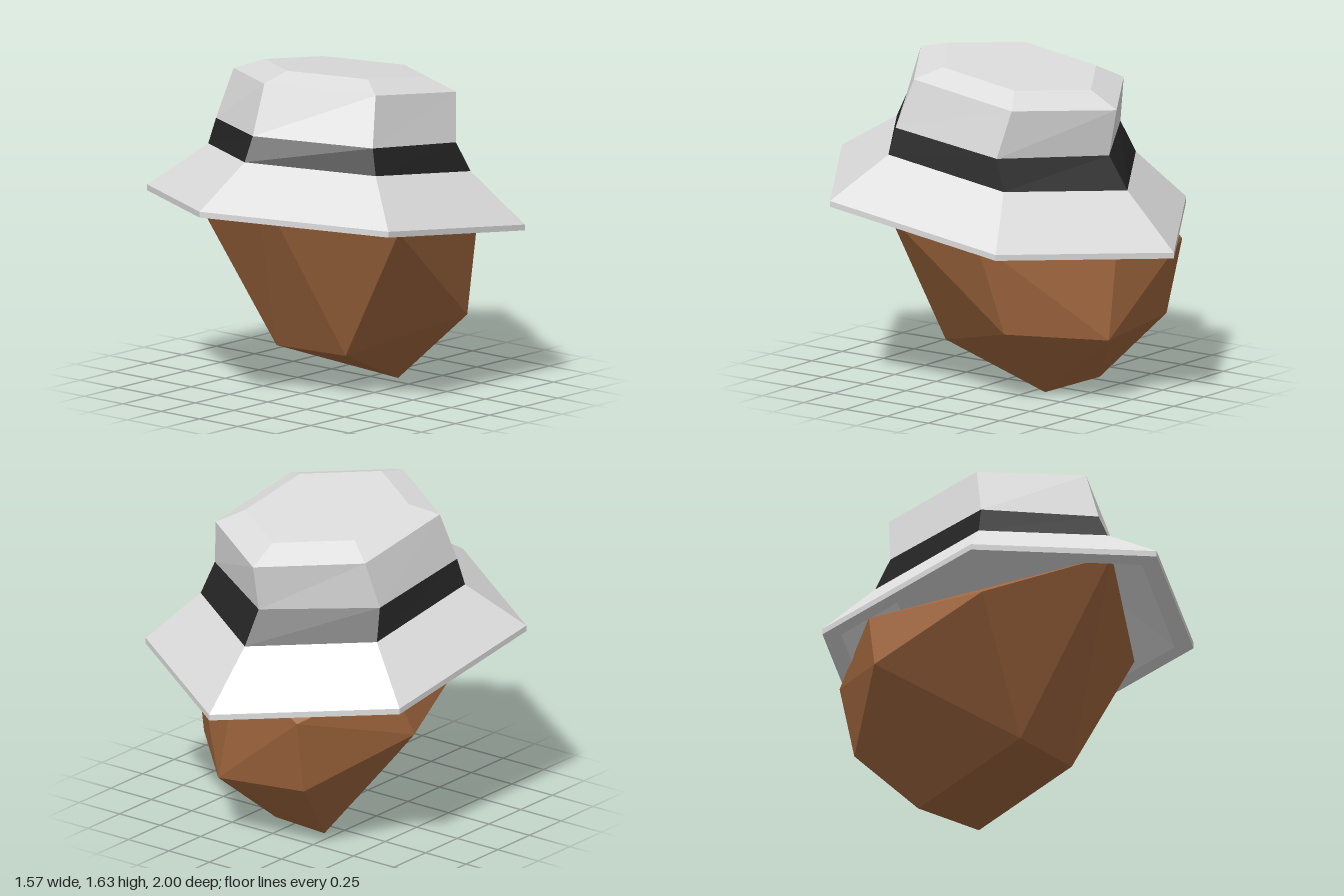
import * as THREE from 'three';
import { ConvexGeometry } from 'three/addons/geometries/ConvexGeometry.js';

const material = (name, color) => {
  const m = new THREE.MeshStandardMaterial({ color });
  m.name = name;
  return m;
};

// Tilted hexagon: front corner (z, y), back corner (z, y) and half width
function hexRing([zf, yf, zb, yb, w]) {
  const at = (x, t) => [x, yf + (yb - yf) * t, zf + (zb - zf) * t];
  return [at(0, 0), at(w, 0.25), at(w, 0.75), at(0, 1), at(-w, 0.75), at(-w, 0.25)];
}

// Flat-sided skin through hexagons, with optional end caps
function loft(sections, capStart, capEnd) {
  const rings = sections.map(hexRing);
  const pos = [];
  const tri = (...corners) => corners.forEach((c) => pos.push(...c));
  for (let r = 0; r < rings.length - 1; r++) {
    const a = rings[r], b = rings[r + 1];
    for (let i = 0; i < 6; i++) {
      const j = (i + 1) % 6;
      tri(a[i], a[j], b[j]);
      tri(a[i], b[j], b[i]);
    }
  }
  const first = rings[0], last = rings[rings.length - 1];
  for (let i = 1; i < 5; i++) {
    if (capStart) tri(first[0], first[i + 1], first[i]);
    if (capEnd) tri(last[0], last[i], last[i + 1]);
  }
  const g = new THREE.BufferGeometry();
  g.setAttribute('position', new THREE.Float32BufferAttribute(pos, 3));
  g.computeVertexNormals();
  return g;
}

export function createModel() {
  const group = new THREE.Group();
  group.name = 'headWithHat';
  const hatGrey = material('hatGrey', 0xdcdcdc);
  const bandBlack = material('bandBlack', 0x242424);
  const headBrown = material('headBrown', 0x9e653d);
  const add = (name, geometry, mat) => {
    const mesh = new THREE.Mesh(geometry, mat);
    mesh.name = name;
    group.add(mesh);
  };

  // Hat sections from the brim upwards
  const cavityTop = [0.58, 1.2, -0.62, 1.03, 0.47];
  const brimInner = [0.9, 0.992, -0.9, 0.755, 0.705];
  const brimBottom = [1, 1.005, -1, 0.738, 0.785];
  const brimTop = [1, 1.034, -1, 0.767, 0.785];
  const bandBottom = [0.67, 1.225, -0.72, 1.04, 0.545];
  const bandTop = [0.61, 1.345, -0.61, 1.2, 0.51];
  const crownEdge = [0.525, 1.592, -0.655, 1.432, 0.462];
  const crownTop = [0.36, 1.63, -0.5, 1.513, 0.337];

  add('brim', loft([cavityTop, brimInner, brimBottom, brimTop, bandBottom], true, false), hatGrey);
  add('hatBand', loft([bandBottom, bandTop]), bandBlack);
  add('crown', loft([bandTop, crownEdge, crownTop], false, true), hatGrey);

  // Faceted head, narrowing to the chin
  const headPoints = [
    [-0.23, 0.02, -0.385], [0.125, 0.0, -0.315],                          // underside
    [-0.17, 0.215, 0.245], [0.24, 0.215, 0.2],                            // chin
    [0.53, 0.37, -0.365], [0.16, 0.32, -0.725], [-0.35, 0.36, -0.7],      // lower back
    [-0.68, 0.6, -0.25], [-0.55, 0.84, 0.35], [-0.615, 0.9, -0.35],       // right side
    [0.63, 0.895, 0.25], [0.66, 0.85, -0.29],                             // left side
    [-0.37, 0.74, -0.78], [0.05, 0.93, -0.71],                            // upper back
    [0.05, 1.14, 0.65], [0, 1.15, 0],                                     // brow and top
  ];
  add('head', new ConvexGeometry(headPoints.map((p) => new THREE.Vector3(...p))), headBrown);

  return group;
}
